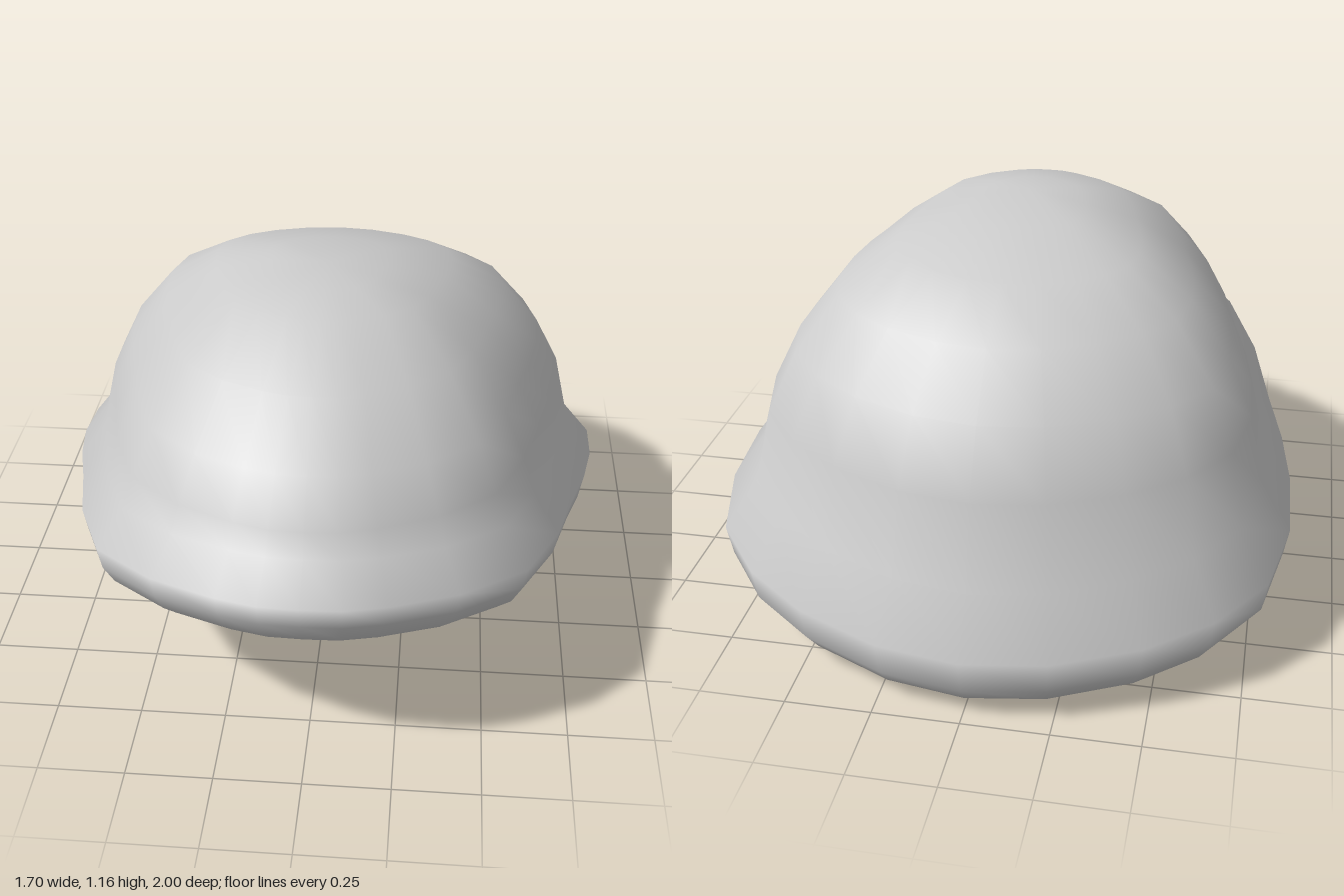
import * as THREE from 'three';

// Right-hand half of the plan outline, back to front, as [x, z] with both spans -1..1
const HALF = [
  [0.28, -0.97], [0.565, -0.88], [0.78, -0.76], [0.94, -0.6], [1, -0.38], [0.99, -0.17], [0.95, 0.02],
  [0.89, 0.21], [0.82, 0.46], [0.7, 0.71], [0.485, 0.87], [0.265, 0.96], [0.13, 0.995],
];
const OUTLINE = [[0, -1], ...HALF, [0, 1], ...HALF.slice().reverse().map(([x, z]) => [-x, z])];

// Tilted rings from the open edge up: [front z, front y, back z, back y, half width]
const RINGS = [
  [0.91, 0.45, -0.87, 0.0, 0.75],   // open edge
  [0.96, 0.5, -0.94, 0.04, 0.8],
  [0.99, 0.56, -0.985, 0.1, 0.835],
  [1.0, 0.625, -1.0, 0.2, 0.85],    // widest part of the rolled brim
  [0.89, 0.7, -0.89, 0.35, 0.76],   // crease between brim and dome
  [0.86, 0.77, -0.83, 0.6, 0.715],
  [0.77, 0.88, -0.73, 0.78, 0.64],
  [0.6, 1.02, -0.59, 0.94, 0.52],
  [0.37, 1.125, -0.4, 1.05, 0.36],
  [0.23, 1.148, -0.16, 1.13, 0.18],
];
const CROWN = [0, 1.16, 0.08];

function shellGeometry() {
  const n = OUTLINE.length;
  const positions = [];
  const index = [];
  for (const [zf, yf, zb, yb, w] of RINGS) {
    for (const [x, z] of OUTLINE) {
      const t = (z + 1) / 2;
      positions.push(x * w, yb + (yf - yb) * t, zb + (zf - zb) * t);
    }
  }
  positions.push(...CROWN);

  const last = RINGS.length - 1;
  const crown = RINGS.length * n;
  for (let i = 0; i < n; i++) {
    const j = (i + 1) % n;
    for (let k = 0; k < last; k++) {
      const a = k * n + i, b = k * n + j, c = b + n, d = a + n;
      index.push(a, d, c, a, c, b);
    }
    index.push(last * n + i, crown, last * n + j);
  }

  const geometry = new THREE.BufferGeometry();
  geometry.setAttribute('position', new THREE.Float32BufferAttribute(positions, 3));
  geometry.setIndex(index);
  geometry.computeVertexNormals();
  return geometry;
}

export function createModel() {
  const group = new THREE.Group();
  group.name = 'hat';
  // One thin shell: rolled brim and dome, open underneath
  const shell = new THREE.Mesh(
    shellGeometry(),
    new THREE.MeshStandardMaterial({ color: 0xcccccc, side: THREE.DoubleSide })
  );
  shell.name = 'domeAndBrim';
  group.add(shell);
  return group;
}
